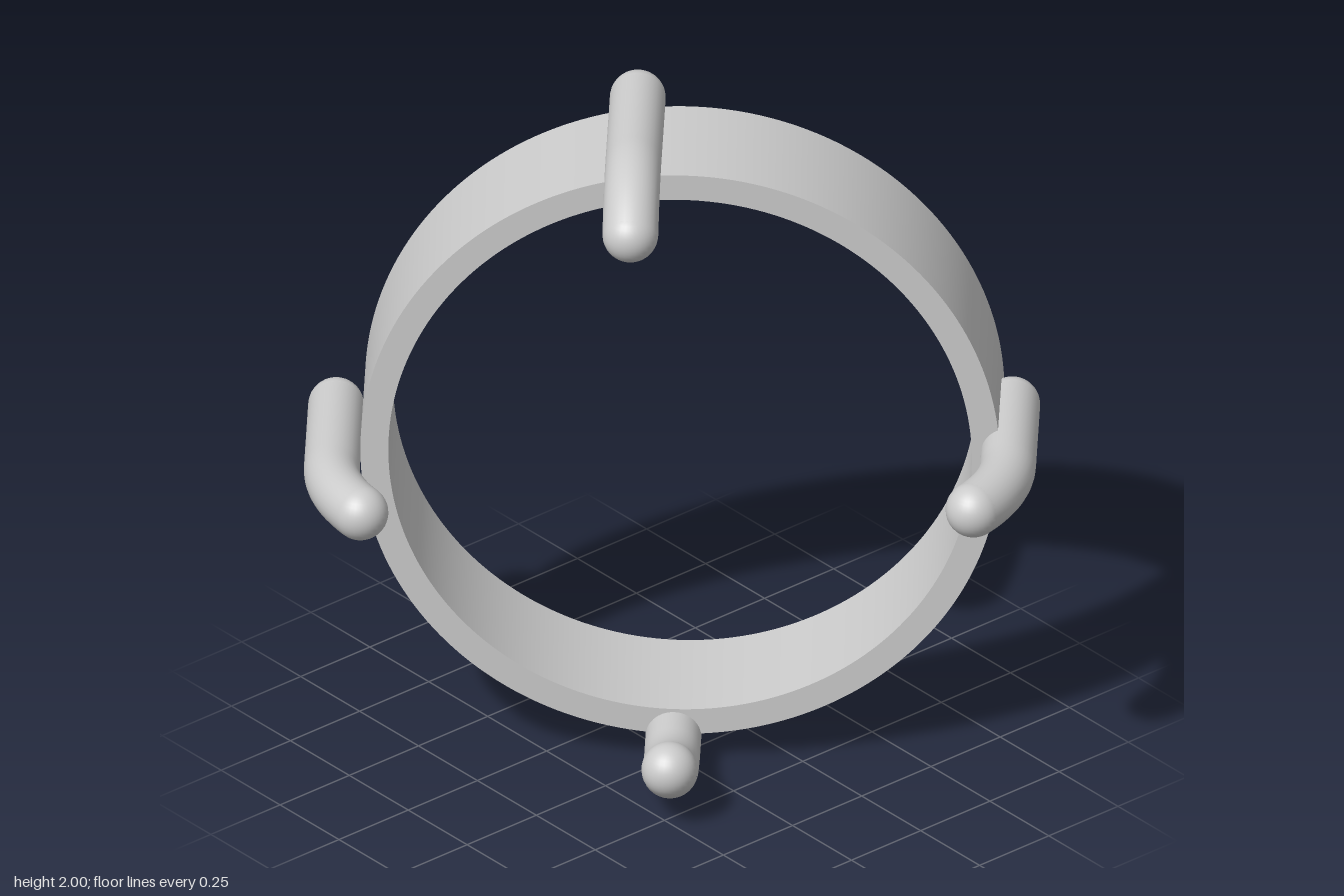
import * as THREE from 'three';
import { toCreasedNormals } from 'three/addons/utils/BufferGeometryUtils.js';

const ROD_RADIUS = 0.077;

export function createModel() {
  const model = new THREE.Group();
  model.name = 'ringWithProngs';
  const material = new THREE.MeshStandardMaterial({ color: 0xcccccc });

  // Everything shares the ring's frame: local z is the ring's axis
  const body = new THREE.Group();
  body.name = 'body';
  body.position.set(0.13, 0.967, -0.12);
  body.rotation.set(THREE.MathUtils.degToRad(-0.8), THREE.MathUtils.degToRad(-42.3), 0, 'YXZ');
  model.add(body);

  // Flat band with square edges
  const outline = new THREE.Shape().absarc(0, 0, 0.88, 0, Math.PI * 2, false);
  outline.holes.push(new THREE.Path().absarc(0, 0, 0.803, 0, Math.PI * 2, true));
  const band = new THREE.ExtrudeGeometry(outline, { depth: 0.39, bevelEnabled: false, curveSegments: 96 });
  band.translate(0, 0, -0.195);
  const ring = new THREE.Mesh(toCreasedNormals(band, 0.6), material);
  ring.name = 'ring';
  body.add(ring);

  // Round-ended rod: straight along the axis, its front bent in by 0.087
  function addProng(name, x, y, back, front) {
    const out = Math.abs(x) > Math.abs(y)
      ? new THREE.Vector3(Math.sign(x), 0, 0)
      : new THREE.Vector3(0, Math.sign(y), 0);
    const at = (z, inward = 0) => out.clone().multiplyScalar(-inward).add(new THREE.Vector3(0, 0, z));
    const start = at(back);
    const bend = at(front - 0.25);
    const end = at(front, 0.087);
    const path = new THREE.CurvePath();
    path.add(new THREE.LineCurve3(start, bend));
    path.add(new THREE.QuadraticBezierCurve3(bend, at(front - 0.12), end));

    const prong = new THREE.Group();
    prong.name = name;
    prong.position.set(x, y, 0);
    const rod = new THREE.Mesh(new THREE.TubeGeometry(path, 32, ROD_RADIUS, 32), material);
    rod.name = 'rod';
    prong.add(rod);
    for (const [tip, p] of [['backTip', start], ['frontTip', end]]) {
      const cap = new THREE.Mesh(new THREE.SphereGeometry(ROD_RADIUS, 32, 20), material);
      cap.name = tip;
      cap.position.copy(p);
      prong.add(cap);
    }
    body.add(prong);
  }

  addProng('topProng', -0.127, 0.953, -0.11, 0.507);
  addProng('bottomProng', -0.018, -0.889, -0.07, 0.535);
  addProng('leftProng', 0.905, 0.022, -0.08, 0.516);
  addProng('rightProng', -0.956, -0.018, -0.084, 0.518);

  return model;
}
